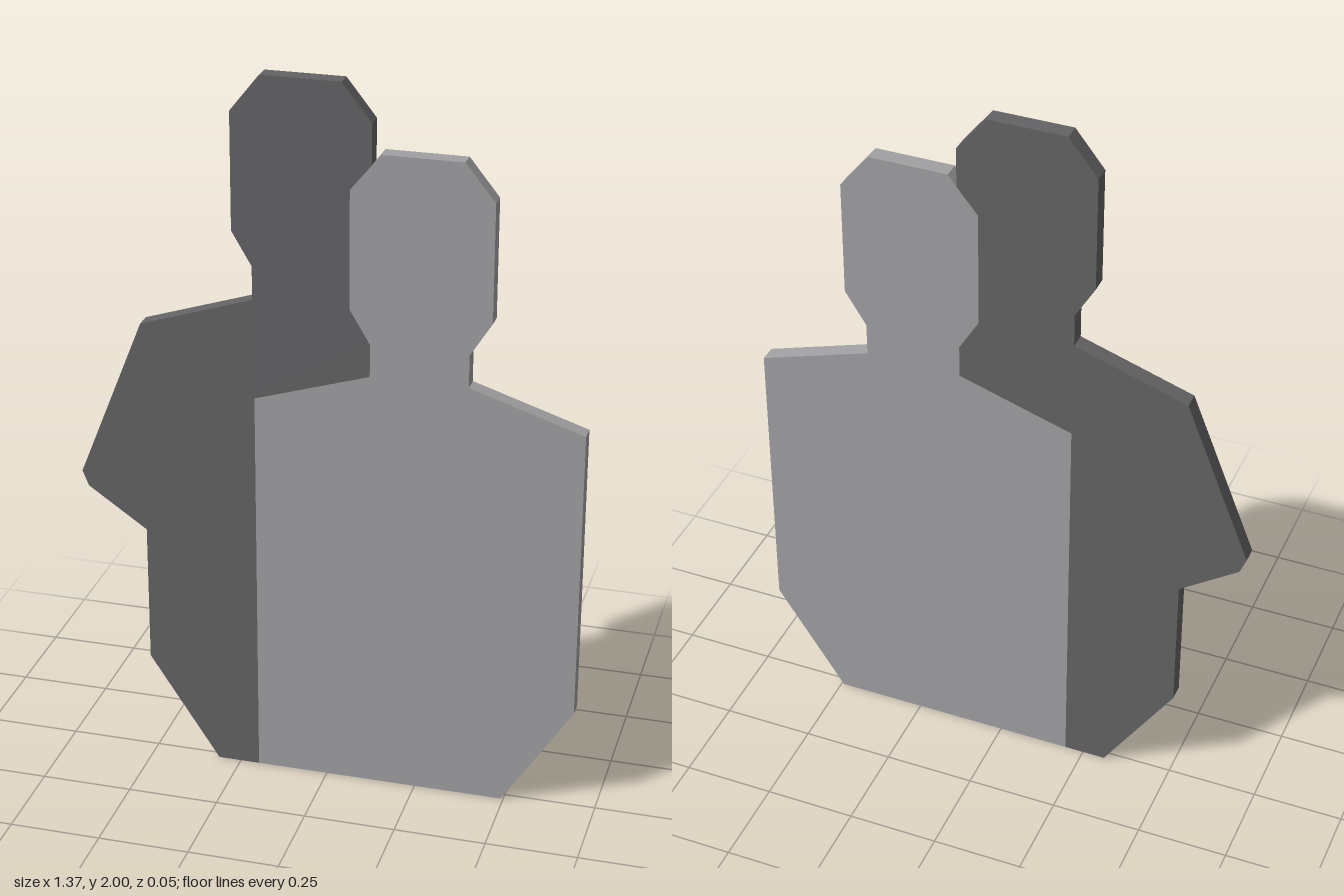
import * as THREE from 'three';

const THICKNESS = 0.046;

// Flat board cut from an outline, centred on z = 0
function board(name, points, material) {
  const shape = new THREE.Shape(points.map(([x, y]) => new THREE.Vector2(x, y)));
  const geometry = new THREE.ExtrudeGeometry(shape, { depth: THICKNESS, bevelEnabled: false });
  geometry.translate(0, 0, -THICKNESS / 2);
  const mesh = new THREE.Mesh(geometry, material);
  mesh.name = name;
  return mesh;
}

export function createModel() {
  const lightGrey = new THREE.MeshStandardMaterial({ color: 0xa0a0a2 });
  lightGrey.name = 'light grey';
  const darkGrey = new THREE.MeshStandardMaterial({ color: 0x636365 });
  darkGrey.name = 'dark grey';

  // Seam shared by both silhouettes, from the base up to the head
  const seam = [
    [-0.197, 0], [-0.197, 1.117], [0.115, 1.215], [0.115, 1.305],
    [0.06, 1.397], [0.06, 1.72], [0.117, 1.79],
  ];

  // Light figure: right edge upward, then back down the seam
  const lightOutline = [
    [0.493, 0], [0.685, 0.298], [0.685, 1.115], [0.377, 1.215], [0.377, 1.305],
    [0.435, 1.397], [0.435, 1.72], [0.355, 1.82], [0.14, 1.82],
    ...[...seam].reverse(),
  ];

  // Dark figure: up the seam, over the head, down the bent arm
  const darkOutline = [
    ...seam,
    [0.117, 1.9], [0.038, 2], [-0.175, 2], [-0.254, 1.9], [-0.254, 1.58],
    [-0.2, 1.488], [-0.2, 1.395], [-0.508, 1.295], [-0.687, 0.845],
    [-0.67, 0.802], [-0.508, 0.69], [-0.508, 0.298], [-0.313, 0],
  ];

  const model = new THREE.Group();
  model.name = 'silhouetteTarget';
  model.add(board('lightFigure', lightOutline, lightGrey));
  model.add(board('darkFigure', darkOutline, darkGrey));
  return model;
}
